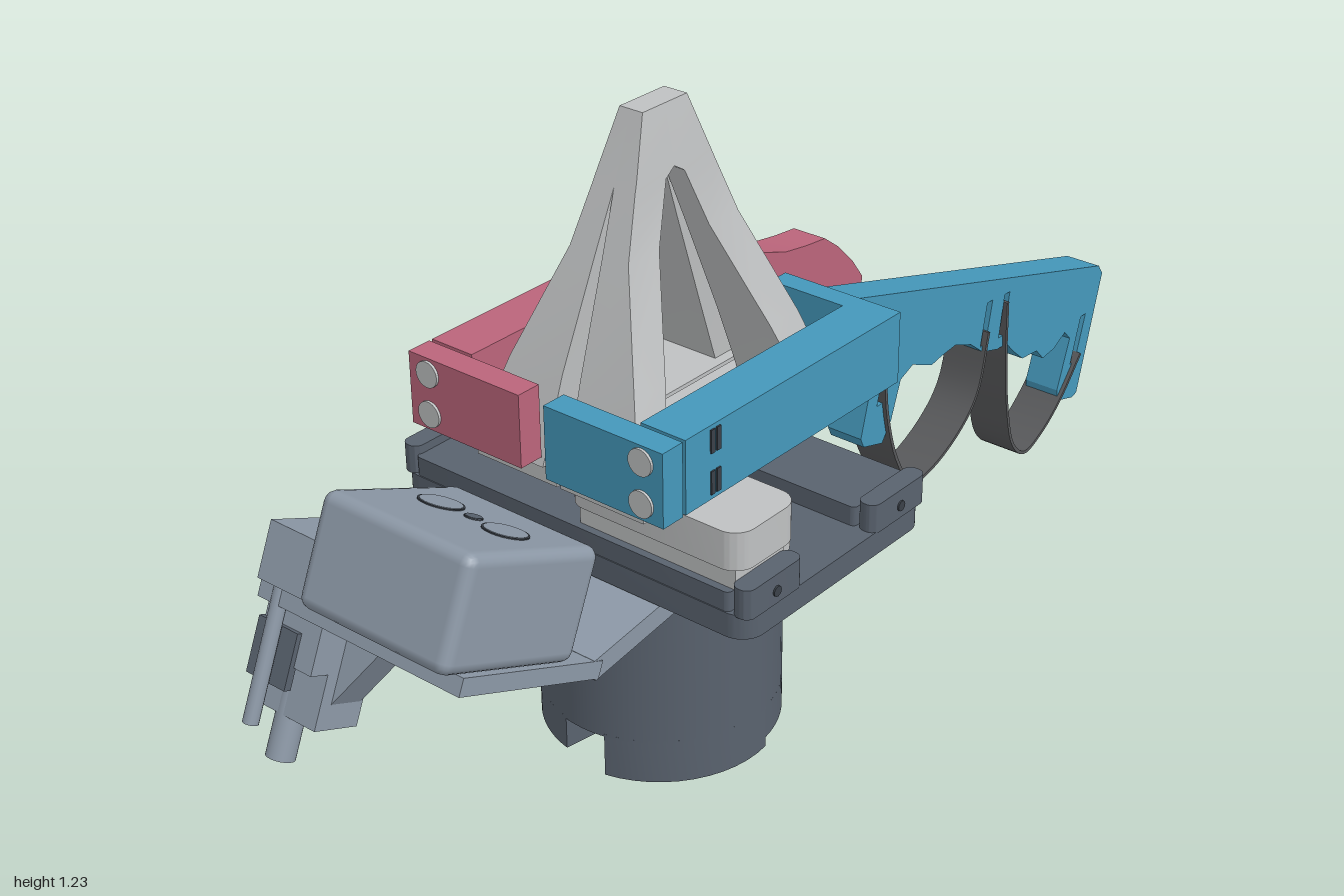
import * as THREE from 'three';
import { toCreasedNormals } from 'three/addons/utils/BufferGeometryUtils.js';
import { RoundedBoxGeometry } from 'three/addons/geometries/RoundedBoxGeometry.js';

const paint = (name, color) => {
  const m = new THREE.MeshStandardMaterial({ color });
  m.name = name;
  return m;
};

export function createModel() {
  const slate = paint('dark slate', 0x59626e);
  const steel = paint('blue grey', 0x8c98a6);
  const light = paint('light grey', 0xbfc1c2);
  const pink = paint('rose', 0xbb657b);
  const blue = paint('blue', 0x4598bb);
  const strapMat = paint('strap grey', 0x58595b);
  const dark = paint('charcoal', 0x3a4048);
  const root = new THREE.Group();
  const CZ = 0.203;

  const add = (name, geo, mat, parent = root, x = 0, y = 0, z = 0) => {
    const mesh = new THREE.Mesh(geo, mat);
    mesh.name = name;
    mesh.position.set(x, y, z);
    parent.add(mesh);
    return mesh;
  };
  // box given by its limits on each axis
  const block = (name, mat, x0, x1, y0, y1, z0, z1, parent = root, r = 0) => {
    const s = [x1 - x0, y1 - y0, z1 - z0];
    const geo = r ? new RoundedBoxGeometry(...s, 2, r) : new THREE.BoxGeometry(...s);
    return add(name, geo, mat, parent, (x0 + x1) / 2, (y0 + y1) / 2, (z0 + z1) / 2);
  };
  const toShape = (pts) => new THREE.Shape(pts.map(([a, b]) => new THREE.Vector2(a, b)));
  const extrude = (shape, depth) =>
    new THREE.ExtrudeGeometry(shape, { depth, bevelEnabled: false, curveSegments: 10 });
  // side outline (z, y) given a width along x
  const sideExtrude = (shape, w) =>
    toCreasedNormals(extrude(shape, w).rotateY(-Math.PI / 2).translate(w / 2, 0, 0), 0.5);
  // plan outline (x, z) raised from y0 to y1
  const planExtrude = (shape, y0, y1) =>
    toCreasedNormals(extrude(shape, y1 - y0).rotateX(Math.PI / 2).translate(0, y1, 0), 0.5);
  const roundRect = (x0, x1, z0, z1, r) => {
    const s = new THREE.Shape();
    s.absarc(x1 - r, z1 - r, r, 0, Math.PI / 2);
    s.absarc(x0 + r, z1 - r, r, Math.PI / 2, Math.PI);
    s.absarc(x0 + r, z0 + r, r, Math.PI, Math.PI * 1.5);
    s.absarc(x1 - r, z0 + r, r, Math.PI * 1.5, Math.PI * 2);
    return s;
  };

  // Round mounting body with a notched lower rim
  add('mountBody', new THREE.CylinderGeometry(0.226, 0.226, 0.36, 64), slate, root, 0, 0.265, CZ);
  const tabs = [[13, 98, 0], [98, 150, 0.02], [168, 205, 0.02], [222, 240, 0.02],
    [240, 262, 0.02], [305, 350, 0.02]];
  for (const [a, b, y0] of tabs) {
    const pts = [];
    const arc = (r, from, to) => {
      for (let i = 0; i <= 12; i++) {
        const t = THREE.MathUtils.degToRad(from + (to - from) * i / 12);
        pts.push([r * Math.sin(t), CZ + r * Math.cos(t)]);
      }
    };
    arc(0.226, a, b);
    arc(0.14, b, a);
    add('rimTab', planExtrude(toShape(pts), y0, 0.09), slate);
  }

  // Base plate, rails and pinion
  add('basePlate', planExtrude(roundRect(-0.403, 0.4, -0.06, 0.452, 0.045), 0.445, 0.492), slate);
  for (const [z0, z1] of [[-0.058, 0.1], [0.3, 0.45]]) {
    add('rail', planExtrude(roundRect(-0.365, 0.36, z0, z1, 0.01), 0.49, 0.53), slate);
    for (const s of [-1, 1]) {
      add('railEnd', planExtrude(roundRect(s * 0.382 - 0.02, s * 0.382 + 0.02, z0, z1, 0.018), 0.49, 0.547), slate);
      add('railScrew', new THREE.CylinderGeometry(0.01, 0.01, 0.006, 12).rotateZ(Math.PI / 2), dark,
        root, s * 0.402, 0.515, (z0 + z1) / 2);
    }
  }
  const gear = [];
  for (let i = 0; i < 64; i++) {
    const r = i % 4 < 2 ? 0.078 : 0.062, t = i * Math.PI / 32;
    gear.push([r * Math.cos(t), CZ + r * Math.sin(t)]);
  }
  add('pinion', planExtrude(toShape(gear), 0.49, 0.588), dark);

  // Sliding jaws: slider, rack, plate, screws and a two-legged finger
  const rows = [ // y, inner x, outer x, inner z, outer z (from the centre)
    [0.64, 0.026, 0.19, 0.2, 0.272], [0.8, 0.02, 0.14, 0.142, 0.222], [1.0, 0.008, 0.065, 0.066, 0.145],
    [1.11, 0, 0.046, 0.024, 0.103], [1.125, 0, 0.044, 0, 0.097], [1.233, 0, 0.025, 0, 0.057]];
  const legGeometry = (s, e) => {
    const geo = new THREE.BoxGeometry(1, 1, 1, 1, rows.length - 1, 1);
    const p = geo.attributes.position;
    for (let i = 0; i < p.count; i++) {
      const [y, xi, xo, zi, zo] = rows[Math.round((p.getY(i) + 0.5) * (rows.length - 1))];
      const u = 0.5 + s * p.getX(i), v = 0.5 + e * p.getZ(i);
      p.setXYZ(i, s * (xi + u * (xo - xi)), y, CZ + e * (zi + v * (zo - zi)));
    }
    return toCreasedNormals(geo, 0.35);
  };
  for (const s of [-1, 1]) {
    const jaw = new THREE.Group();
    jaw.name = s > 0 ? 'leftJaw' : 'rightJaw';
    root.add(jaw);
    const [z0, z1] = s > 0 ? [0.285, 0.45] : [-0.058, 0.12];
    const x0 = s > 0 ? 0.0 : -0.384, x1 = s > 0 ? 0.382 : 0.0;
    add('slider', planExtrude(roundRect(x0, x1, z0, z1, 0.04), 0.572, 0.645), light, jaw);
    block('sliderFoot', light, x0 + 0.02, x1 - 0.02, 0.525, 0.575, z0 + 0.02, z1 - 0.015, jaw);
    for (let i = 0; i < 15; i++) {
      const x = s * (0.03 + i * 0.023), z = s > 0 ? z0 + 0.01 : z1 - 0.01;
      block('rackTooth', light, x - 0.006, x + 0.006, 0.535, 0.575, z - 0.012, z + 0.012, jaw);
    }
    block('jawPlate', light, Math.min(0.004 * s, 0.19 * s), Math.max(0.004 * s, 0.19 * s), 0.605, 0.662, -0.065, 0.465, jaw);
    for (const e of [-1, 1]) {
      add('fingerLeg', legGeometry(s, e), light, jaw);
      const sz = CZ - s * 0.015 + e * 0.085;
      add('jawScrew', new THREE.CylinderGeometry(0.028, 0.028, 0.014, 24), light, jaw, s * 0.137, 0.668, sz);
      add('screwSocket', new THREE.CylinderGeometry(0.013, 0.013, 0.006, 6), dark, jaw, s * 0.137, 0.674, sz);
    }
  }

  // Handle outlines (z, y), listed along the top and back along the grip
  const start = [[-0.115, 0.66], [-0.195, 0.652], [-0.153, 0.496], [-0.163, 0.475], [-0.222, 0.458],
    [-0.249, 0.496], [-0.276, 0.571], [-0.314, 0.587]];
  const longGrip = [[-0.115, 0.8], [-0.984, 0.545], [-1, 0.523], [-0.93, 0.27], [-0.914, 0.265], [-0.855, 0.282],
    [-0.85, 0.308], [-0.887, 0.415], [-0.866, 0.437], [-0.828, 0.416], [-0.785, 0.41], [-0.759, 0.437],
    [-0.705, 0.442], [-0.673, 0.469], [-0.641, 0.501], [-0.609, 0.501], [-0.555, 0.517], [-0.512, 0.55],
    [-0.458, 0.571], [-0.41, 0.566], [-0.378, 0.56], ...start.slice().reverse()];
  const ringGrip = [[-0.115, 0.8], [-0.314, 0.732], [-0.378, 0.722], [-0.437, 0.716], [-0.48, 0.684], [-0.53, 0.635],
    [-0.566, 0.587], [-0.56, 0.52], [-0.52, 0.416], [-0.437, 0.442], [-0.442, 0.464], [-0.48, 0.501],
    [-0.491, 0.533], [-0.448, 0.56], [-0.378, 0.582], ...start.slice().reverse()];
  const slot = (z, y, dz, dy) => new THREE.Path([[z - 0.009, y], [z + 0.009, y],
    [z + dz + 0.009, y + dy], [z + dz - 0.009, y + dy]].map(([a, b]) => new THREE.Vector2(a, b)));
  const strapGeometry = (pts) => {
    const curve = new THREE.CatmullRomCurve3(pts.map(([z, y]) => new THREE.Vector3(z, y, 0)));
    const a = [], b = [];
    for (let i = 0; i <= 32; i++) {
      const p = curve.getPoint(i / 32), t = curve.getTangent(i / 32);
      a.push([p.x, p.y]);
      b.unshift([p.x - t.y * 0.007, p.y + t.x * 0.007]);
    }
    return sideExtrude(toShape([...a, ...b]), 0.092);
  };
  const strapA = [[-0.22, 0.6], [-0.23, 0.52], [-0.265, 0.41], [-0.32, 0.335], [-0.385, 0.338],
    [-0.48, 0.385], [-0.53, 0.44], [-0.56, 0.56]];
  const strapB = [[-0.63, 0.6], [-0.635, 0.48], [-0.65, 0.36], [-0.68, 0.26], [-0.725, 0.222],
    [-0.785, 0.242], [-0.85, 0.29], [-0.92, 0.37]];
  const strapC = [[-0.22, 0.58], [-0.245, 0.48], [-0.275, 0.4], [-0.325, 0.36], [-0.39, 0.375],
    [-0.47, 0.42], [-0.52, 0.5]];

  // Carrier arms with handles
  for (const s of [-1, 1]) {
    const mat = s > 0 ? blue : pink;
    const arm = new THREE.Group();
    arm.name = s > 0 ? 'leftArm' : 'rightArm';
    root.add(arm);
    const span = (name, a, b, z0, z1) =>
      block(name, mat, Math.min(s * a, s * b), Math.max(s * a, s * b), 0.66, 0.8, z0, z1, arm);
    span('frontClamp', 0.028, 0.285, 0.475, 0.525);
    span('sideBar', 0.19, 0.285, -0.125, 0.468);
    span('rearBar', 0.028, 0.285, -0.127, -0.083);
    for (const y of [0.692, 0.77]) {
      add('clampScrew', new THREE.CylinderGeometry(0.025, 0.025, 0.07, 28).rotateX(Math.PI / 2), light,
        arm, s * 0.24, y, 0.495);
      for (const z of [0.385, 0.4]) {
        block('nutSlot', dark, s * 0.286 - 0.002, s * 0.286 + 0.002, y - 0.022, y + 0.022, z - 0.005, z + 0.005, arm);
      }
    }
    const shape = toShape(s > 0 ? longGrip : ringGrip);
    shape.holes.push(slot(-0.21, 0.545, -0.025, 0.09));
    if (s > 0) {
      shape.holes.push(slot(-0.555, 0.53, -0.018, 0.09), slot(-0.62, 0.525, -0.014, 0.09),
        slot(-0.905, 0.35, -0.03, 0.1));
    }
    add('handle', sideExtrude(shape, 0.076), mat, arm, s * 0.151);
    for (const pts of s > 0 ? [strapA, strapB] : [strapC]) {
      add('strap', strapGeometry(pts), strapMat, arm, s * 0.151);
    }
  }

  // Flat bracket carrying the camera
  add('bracket', planExtrude(toShape([[-0.2, 0.38], [0.2, 0.38], [0.232, 0.64], [-0.172, 0.64]]), 0.403, 0.442), steel);

  // Tilted camera unit
  const unit = new THREE.Group();
  unit.name = 'cameraUnit';
  unit.position.set(0, 0.62, 0.8);
  unit.rotation.x = -0.41;
  root.add(unit);
  block('cameraBody', steel, -0.095, 0.235, -0.1, 0.1, -0.16, 0.16, unit, 0.022);
  for (const [x, r] of [[0, 0.04], [0.072, 0.016], [0.142, 0.04]]) {
    add('lensRim', new THREE.CylinderGeometry(r, r, 0.006, 32), dark, unit, x, 0.099, -0.02);
    add('lens', new THREE.CylinderGeometry(r * 0.92, r * 0.92, 0.008, 32), r > 0.02 ? steel : slate, unit, x, 0.099, -0.02);
  }
  add('tiltPlate', planExtrude(toShape([[-0.172, -0.24], [0.232, -0.24], [0.235, 0.11], [-0.222, 0.11]]), -0.132, -0.1), steel, unit);
  for (const x of [-0.01, 0.15]) {
    add('plateScrew', new THREE.CylinderGeometry(0.012, 0.012, 0.006, 16), dark, unit, x, -0.133, -0.05);
  }
  block('sideHousing', steel, -0.222, -0.09, -0.1, 0.0, -0.1, 0.12, unit);

  // Gusset, motor and shaft below the plate
  const gusset = toShape([[-0.2, -0.13], [0, -0.13], [-0.11, -0.3], [-0.2, -0.3]]);
  add('gusset', extrude(gusset, 0.07), steel, unit, 0, 0, -0.06);
  block('motorHousing', steel, -0.228, -0.1, -0.23, -0.13, -0.075, 0.075, unit);
  block('motorFoot', steel, -0.228, -0.1, -0.33, -0.23, -0.065, 0.035, unit);
  block('motorFace', slate, -0.232, -0.14, -0.27, -0.17, 0.07, 0.085, unit);
  add('driveRod', new THREE.CylinderGeometry(0.014, 0.014, 0.34, 16), steel, unit, -0.182, -0.17, 0.1);
  add('shaft', new THREE.CylinderGeometry(0.026, 0.026, 0.13, 28), steel, unit, -0.182, -0.345, 0.01);
  return root;
}
